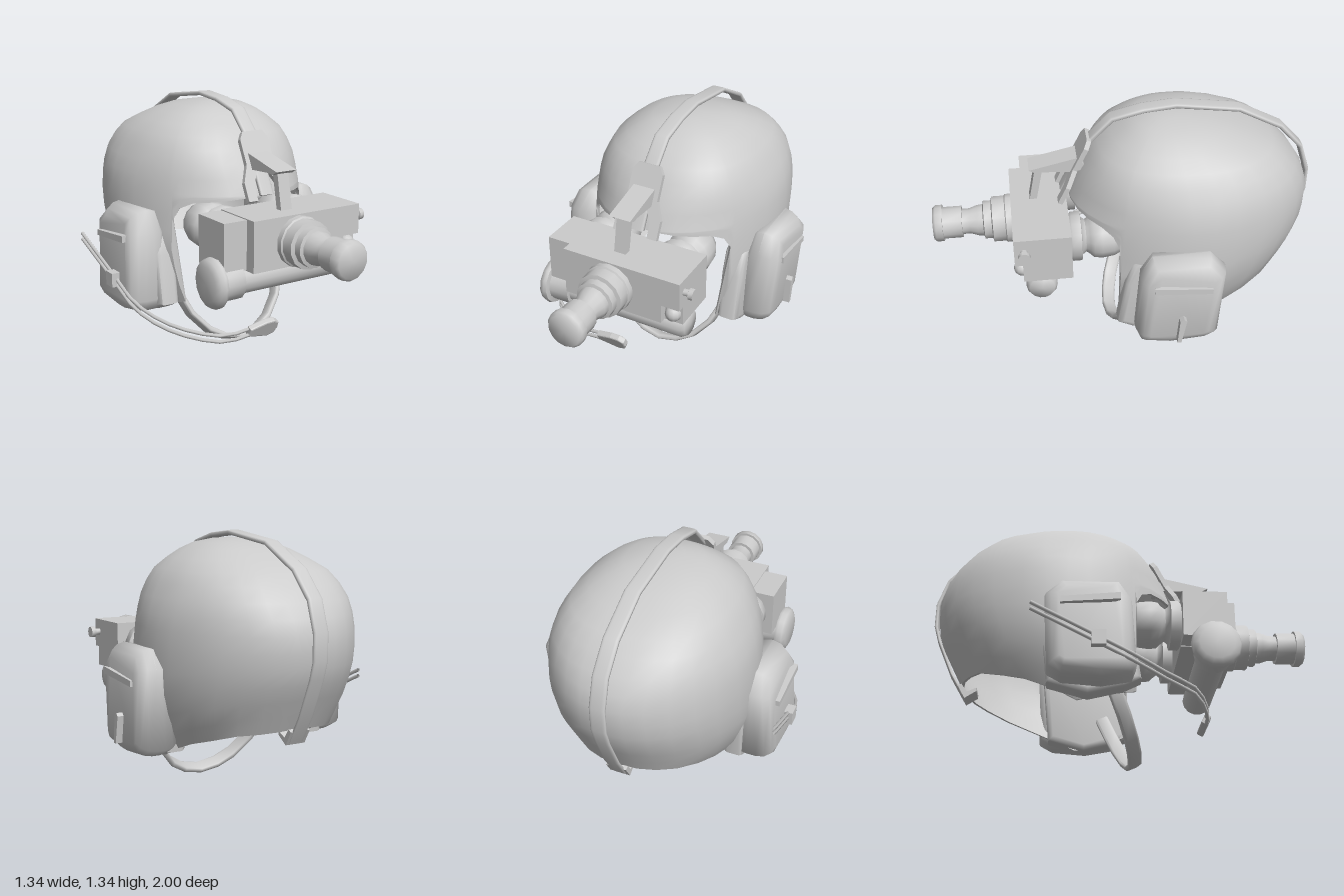
import * as THREE from 'three';
import { toCreasedNormals } from 'three/addons/utils/BufferGeometryUtils.js';

const CX = 0.015; // centre line of helmet and goggles
const material = new THREE.MeshStandardMaterial({ color: 0xcccccc, side: THREE.DoubleSide });

export function createModel() {
  const model = new THREE.Group();
  model.name = 'flightHelmet';

  const add = (name, geometry, x = 0, y = 0, z = 0) => {
    const mesh = new THREE.Mesh(geometry, material);
    mesh.name = name;
    mesh.position.set(x, y, z);
    model.add(mesh);
    return mesh;
  };
  const box = (name, x0, x1, y0, y1, z0, z1) =>
    add(name, new THREE.BoxGeometry(x1 - x0, y1 - y0, z1 - z0), (x0 + x1) / 2, (y0 + y1) / 2, (z0 + z1) / 2);
  const toShape = (pts) => new THREE.Shape(pts.map(([a, b]) => new THREE.Vector2(a, b)));
  const mirror = (pts) => pts.map(([x, y]) => [-x, y]).reverse();

  // Side outline of [z, y] points, extruded from x0 to x1, with rounded edges
  const plate = (name, pts, x0, x1, depth = 0, inset = depth) => {
    const g = new THREE.ExtrudeGeometry(toShape(pts), {
      depth: x1 - x0 - 2 * depth, bevelEnabled: depth > 0, bevelThickness: depth,
      bevelSize: inset, bevelOffset: -inset, bevelSegments: 3,
    });
    g.rotateY(-Math.PI / 2).translate(x1 - depth, 0, 0);
    return add(name, toCreasedNormals(g, depth > 0 ? 1.1 : 0.7));
  };
  // Turned part of [radius, position] points along z or x
  const turned = (name, pts, axis, x, y, z, sides = 14) => {
    const g = new THREE.LatheGeometry(pts.map(([r, p]) => new THREE.Vector2(r, p)), sides);
    if (axis === 'z') g.rotateX(Math.PI / 2);
    else g.rotateZ(-Math.PI / 2);
    return add(name, toCreasedNormals(g, 1.0), x, y, z);
  };

  add('helmetShell', helmetGeometry(), CX);

  // Strap running over the crown from brim to nape
  const strap = [[0.33, 0.88], [0.27, 1.0], [0.2, 1.15], [0.06, 1.29], [-0.1, 1.33], [-0.27, 1.345], [-0.6, 1.3],
    [-0.83, 1.18], [-0.95, 1.05], [-1, 0.9], [-1, 0.77], [-0.975, 0.68], [-0.895, 0.49], [-0.82, 0.36]];
  const strapInside = strap.map(([z, y]) => [-0.35 + (z + 0.35) * 0.968, 0.6 + (y - 0.6) * 0.968]).reverse();
  plate('crownStrap', [...strap, ...strapInside], CX - 0.04, CX + 0.04, 0.016, 0.006);
  plate('strapHook', [[-0.85, 0.42], [-0.81, 0.35], [-0.75, 0.39], [-0.75, 0.41], [-0.8, 0.385], [-0.83, 0.43]],
    CX - 0.055, CX + 0.055);

  // Goggle mount on the brow
  const mountHalf = [[0.07, 0], [0.125, 0], [0.125, 0.1], [0.085, 0.19], [0.085, 0.325], [0.06, 0.365]];
  const mountShape = toShape([...mountHalf, ...mirror(mountHalf), [-0.07, 0.08], [-0.03, 0.16], [0.03, 0.16], [0.07, 0.08]]);
  add('mountPlate', new THREE.ExtrudeGeometry(mountShape, { depth: 0.025, bevelEnabled: false }),
    CX, 0.85, 0.325).rotation.x = -0.46;
  plate('mountArm', [[0.18, 1.02], [0.24, 1.085], [0.44, 1.04], [0.485, 1.03], [0.45, 1.01], [0.42, 1.015], [0.26, 1.005]],
    CX - 0.06, CX + 0.06);
  plate('mountDropArm', [[0.412, 1.03], [0.452, 1.03], [0.492, 0.82], [0.455, 0.82]], CX - 0.033, CX + 0.033);

  // Goggle body with a recessed corner for the lamp
  box('goggleBody', -0.25, 0.3, 0.575, 0.835, 0.3, 0.59);
  box('goggleUpperCorner', 0.3, 0.4, 0.68, 0.835, 0.3, 0.59);
  box('goggleLowerCorner', 0.3, 0.4, 0.575, 0.68, 0.3, 0.55);
  box('goggleSideBlock', -0.38, -0.25, 0.58, 0.83, 0.3, 0.53);
  add('statusLamp', new THREE.SphereGeometry(0.042, 12, 8), 0.35, 0.63, 0.555);
  turned('batteryTube', [[0, -0.44], [0.09, -0.44], [0.12, -0.425], [0.13, -0.4], [0.125, -0.385], [0.1, -0.38],
    [0.1, -0.27], [0.08, -0.27], [0.08, 0.37], [0.065, 0.395], [0, 0.4]], 'x', 0, 0.52, 0.46);
  turned('sideKnob', [[0.018, 0], [0.018, 0.025], [0.03, 0.03], [0.03, 0.055], [0, 0.055]], 'x', 0.4, 0.765, 0.54, 10);

  // Single objective lens
  turned('objectiveLens', [[0.13, 0.58], [0.13, 0.62], [0.122, 0.625], [0.122, 0.69], [0.102, 0.695], [0.102, 0.735],
    [0.085, 0.74], [0.082, 0.77], [0.068, 0.81], [0.068, 0.85], [0.085, 0.85], [0.085, 0.95], [0.098, 0.95],
    [0.098, 0.985], [0.085, 1], [0, 1]], 'z', CX, 0.7, 0);

  // Eyepieces with soft, rounded eyecups
  for (const x of [-0.215, 0.23]) {
    turned('eyepiece', [[0, 0.015], [0.06, 0.02], [0.1, 0.04], [0.118, 0.08], [0.125, 0.14], [0.12, 0.18], [0.1, 0.2],
      [0.085, 0.22], [0.1, 0.24], [0.13, 0.245], [0.13, 0.29], [0.11, 0.31]], 'z', x, 0.71, 0);
  }

  // Ear cups, cushions and latch; the right cup sits a little further forward
  const cup = [[-0.08, 0.79], [-0.37, 0.79], [-0.45, 0.7], [-0.43, 0.3], [-0.36, 0.26], [-0.17, 0.245],
    [-0.02, 0.275], [0.0, 0.33], [-0.02, 0.68]];
  const cushion = [[-0.1, 0.74], [0.0, 0.68], [0.04, 0.56], [0.08, 0.3], [0, 0.26], [-0.18, 0.215], [-0.38, 0.27], [-0.42, 0.68]];
  const ridge = [[-0.08, 0.675], [-0.37, 0.645], [-0.37, 0.615], [-0.08, 0.64]];
  const latch = [[-0.2, 0.31], [-0.22, 0.31], [-0.245, 0.45], [-0.23, 0.465], [-0.21, 0.45]];
  for (const s of [1, -1]) {
    const sidePlate = (name, pts, inner, outer, shift, ...bevel) =>
      plate(name, pts.map(([z, y]) => [z + shift, y]), s > 0 ? inner : -outer, s > 0 ? outer : -inner, ...bevel);
    const [inner, outer, shift, lean] = s > 0 ? [0.44, 0.655, 0, 0.1] : [0.4, 0.63, 0.05, 0];
    const shell = sidePlate('earCup', cup, inner, outer, shift, 0.085, 0.065);
    // lean the cup and slope the top of its outer face inwards
    const p = shell.geometry.attributes.position;
    for (let i = 0; i < p.count; i++) {
      const x = p.getX(i), y = p.getY(i);
      const slope = Math.abs(x) > 0.54 ? 0.3 * Math.max(0, y - 0.62) : 0;
      p.setX(i, x + s * (lean * (y - 0.55) - slope));
    }
    shell.geometry = toCreasedNormals(shell.geometry, 1.1);
    sidePlate('earCushion', cushion, 0.36, 0.48, 0, 0.03);
    sidePlate('earCupRidge', ridge, 0.55, outer + 0.006, shift);
    if (s > 0) sidePlate('earCupLatch', latch, 0.6, 0.668, shift);
  }

  // Chin strap, a flat band leaning back towards the ears
  const bandOuter = [[0, 0], [0.11, 0.022], [0.2, 0.075], [0.29, 0.185], [0.33, 0.285], [0.355, 0.41]];
  const bandInner = [[0.33, 0.42], [0.303, 0.295], [0.265, 0.2], [0.185, 0.103], [0.1, 0.05], [0, 0.028]];
  const band = new THREE.ExtrudeGeometry(
    toShape([...bandOuter, ...bandInner, ...mirror(bandInner).slice(1), ...mirror(bandOuter).slice(0, -1)]),
    { depth: 0.05, bevelEnabled: true, bevelThickness: 0.012, bevelSize: 0.008, bevelOffset: -0.008, bevelSegments: 2 });
  add('chinStrap', toCreasedNormals(band, 0.8), 0.02, 0.005, 0.06).rotation.x = -0.41;

  // Microphone boom of two wires with clamp and capsule
  const boom = [[-0.66, 0.58, -0.46], [-0.635, 0.42, -0.13], [-0.62, 0.33, 0.05], [-0.56, 0.27, 0.2],
    [-0.47, 0.235, 0.34], [-0.3, 0.195, 0.415], [-0.15, 0.21, 0.43]];
  for (const d of [-0.016, 0.016]) {
    const curve = new THREE.CatmullRomCurve3(boom.map(([x, y, z]) => new THREE.Vector3(x, y + d, z)));
    add('microphoneBoom', new THREE.TubeGeometry(curve, 14, 0.01, 5));
  }
  box('boomClamp', -0.665, -0.6, 0.385, 0.46, -0.17, -0.1);
  const capsule = toShape([[-0.17, 0.185], [-0.05, 0.16], [-0.01, 0.175], [0.003, 0.21], [0, 0.245],
    [-0.03, 0.265], [-0.08, 0.262], [-0.17, 0.235]]);
  add('microphone', new THREE.ExtrudeGeometry(capsule, {
    depth: 0.02, bevelEnabled: true, bevelThickness: 0.008, bevelSize: 0.008, bevelOffset: -0.008, bevelSegments: 2,
  }).translate(0, -0.21, -0.01), 0, 0.21, 0.43).rotation.x = 0.45;

  return model;
}

// Piecewise linear lookup in rows whose first value ascends
function lookup(rows, key) {
  let i = 1;
  while (i < rows.length - 1 && key > rows[i][0]) i++;
  const [a, b] = [rows[i - 1], rows[i]];
  const t = THREE.MathUtils.clamp((key - a[0]) / (b[0] - a[0]), 0, 1);
  return a.map((v, k) => v + (b[k] - v) * t);
}

// Thin shell of oval sections, squarer near the crown, cut by a rim that dips at the ears
function helmetGeometry() {
  // height, front z, back z, half width
  const sections = [[0.2, 0.23, -0.6, 0.38], [0.4, 0.28, -0.82, 0.47], [0.55, 0.3, -0.895, 0.515], [0.65, 0.3, -0.945, 0.52],
    [0.75, 0.3, -0.975, 0.522], [0.87, 0.29, -0.98, 0.515], [0.97, 0.25, -0.945, 0.495], [1.06, 0.2, -0.88, 0.455],
    [1.16, 0.13, -0.765, 0.39], [1.24, 0.02, -0.58, 0.29], [1.28, -0.05, -0.46, 0.2], [1.3, -0.1, -0.37, 0.135],
    [1.31, -0.23, -0.23, 0]];
  // angle from the front, rim height
  const rim = [[0, 0.87], [40, 0.84], [47, 0.81], [51, 0.75], [53, 0.29], [75, 0.25], [95, 0.22], [105, 0.27],
    [120, 0.33], [145, 0.4], [180, 0.43]];
  const side = [0, 10, 20, 30, 40, 47, 51, 53, 62, 75, 85, 95, 105, 120, 132, 145, 157, 168];
  const angles = [...side, 180, ...side.slice(1).reverse().map((a) => 360 - a)];
  const round = (v, power) => Math.sign(v) * Math.abs(v) ** power;
  // level rows above the brow, rows spread down to the rim below it
  const brow = 0.88, upper = 9, rows = 15, n = angles.length, positions = [], indices = [];
  for (let i = 0; i <= 2 * rows + 1; i++) {
    const inner = i > rows, r = inner ? 2 * rows + 1 - i : i; // 0 at the crown
    for (const angle of angles) {
      const bottom = lookup(rim, Math.min(angle, 360 - angle))[1];
      const y = r <= upper ? brow + (1.31 - brow) * Math.cos(r / upper * Math.PI / 2)
        : brow + (bottom - brow) * (r - upper) / (rows - upper);
      const [, front, back, width] = lookup(sections, y);
      const a = THREE.MathUtils.degToRad(angle), k = inner ? 0.975 : 1;
      const power = 1 - 0.18 * THREE.MathUtils.smoothstep(y, 0.88, 1.12);
      positions.push(k * width * round(Math.sin(a), power), inner ? y - 0.015 * (1 - r / rows) : y,
        (front + back) / 2 + k * (front - back) / 2 * round(Math.cos(a), power));
    }
  }
  for (let i = 0; i <= 2 * rows; i++) {
    for (let j = 0; j < n; j++) {
      const a = i * n + j, d = i * n + (j + 1) % n;
      if (i > 0) indices.push(a, a + n, d);
      if (i < 2 * rows) indices.push(d, a + n, d + n);
    }
  }
  const g = new THREE.BufferGeometry();
  g.setAttribute('position', new THREE.Float32BufferAttribute(positions, 3));
  g.setIndex(indices);
  return toCreasedNormals(g, 0.8);
}
